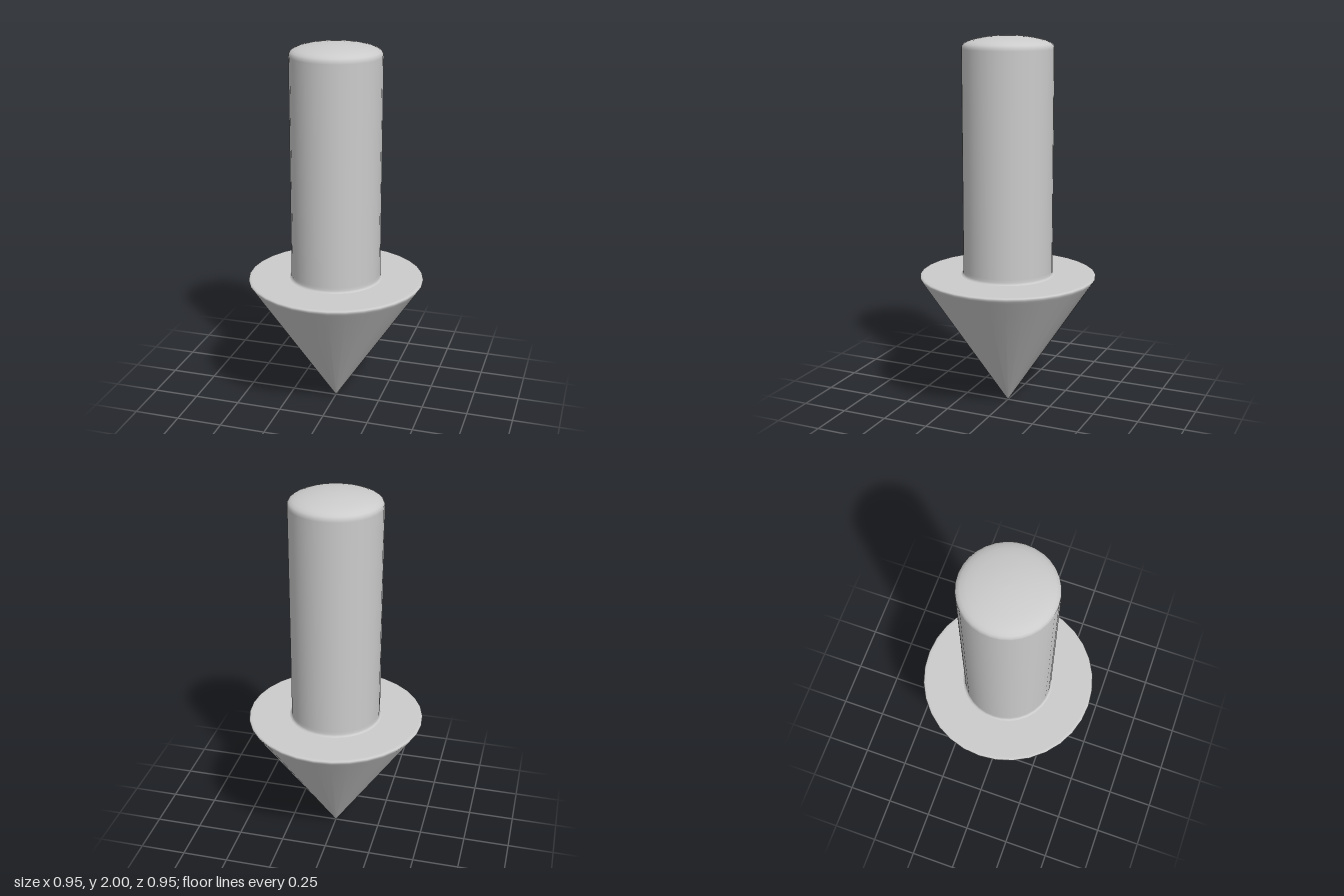
import * as THREE from 'three';

const SIDES = 32;

// Turns a bottom-to-top profile of [radius, height] pairs around the y axis.
function turned(name, profile) {
  const points = profile.map(([r, y]) => new THREE.Vector2(r, y));
  const material = new THREE.MeshStandardMaterial({ color: 0xcccccc });
  const mesh = new THREE.Mesh(new THREE.LatheGeometry(points, SIDES), material);
  mesh.name = name;
  return mesh;
}

export function createModel() {
  const group = new THREE.Group();
  group.name = 'downArrow';

  // Pointed head with a softly rounded rim and a flat upper face
  group.add(turned('arrowHead', [
    [0, 0], [0.01, 0.015], [0.462, 0.7], [0.47, 0.712],
    [0.475, 0.722], [0.473, 0.729], [0.466, 0.732],
    [0.455, 0.732], [0.2, 0.732], [0, 0.732],
  ]));

  // Round shaft: small fillet at the foot, shallow domed end at the top
  group.add(turned('shaft', [
    [0.252, 0.732], [0.244, 0.735], [0.241, 0.745], [0.241, 0.76],
    [0.241, 1.93], [0.24, 1.944], [0.233, 1.956], [0.218, 1.966],
    [0.19, 1.977], [0.15, 1.986], [0.1, 1.994], [0.05, 1.999], [0, 2],
  ]));

  return group;
}
